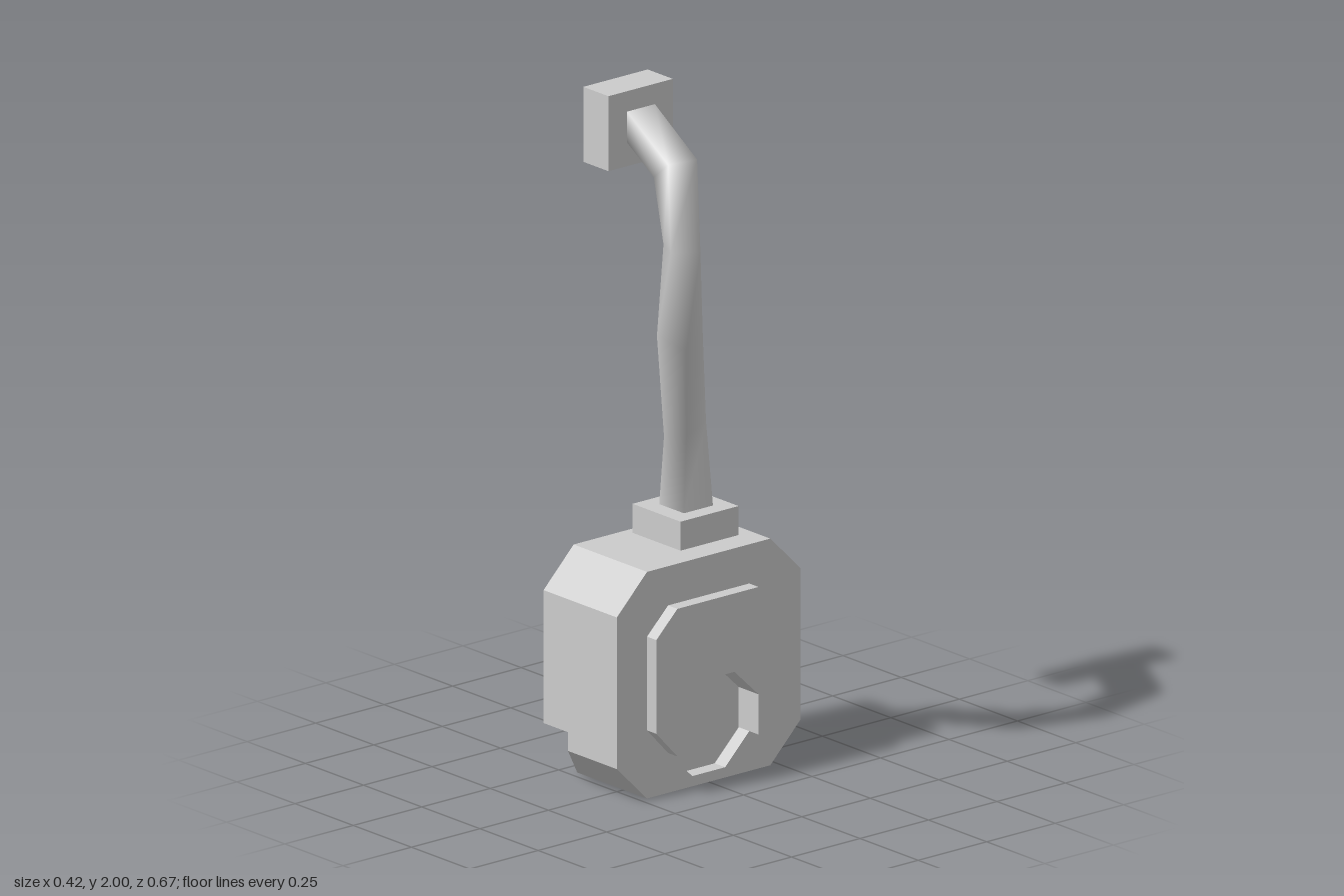
import * as THREE from 'three';

const grey = new THREE.MeshStandardMaterial({ color: 0xcccccc, side: THREE.DoubleSide });

function add(parent, name, geometry) {
  const mesh = new THREE.Mesh(geometry, grey);
  mesh.name = name;
  parent.add(mesh);
  return mesh;
}

// Flat wall strip along a path of [z, y, backX, frontX]
function wall(path, closed = true) {
  const pos = [];
  const n = path.length;
  for (let i = 0; i < (closed ? n : n - 1); i++) {
    const [pz, py, pb, pf] = path[i];
    const [qz, qy, qb, qf] = path[(i + 1) % n];
    pos.push(pb, py, pz, qb, qy, qz, qf, qy, qz);
    pos.push(pb, py, pz, qf, qy, qz, pf, py, pz);
  }
  const g = new THREE.BufferGeometry();
  g.setAttribute('position', new THREE.Float32BufferAttribute(pos, 3));
  g.computeVertexNormals();
  return g;
}

// Flat panel facing +x, outlined by [z, y] points
function panel(points, x, hole) {
  const flat = (list) => list.map(([z, y]) => new THREE.Vector2(-z, y));
  const shape = new THREE.Shape(flat(points));
  if (hole) shape.holes.push(new THREE.Path(flat(hole)));
  return new THREE.ShapeGeometry(shape).rotateY(Math.PI / 2).translate(x, 0, 0);
}

// Completes a -z half outline (bottom to top) with its +z mirror
const mirrored = (half) => [...half, ...half.map(([z, ...rest]) => [-z, ...rest]).reverse()];
const depth = (points, back, front) => points.map(([z, y]) => [z, y, back, front]);

function createHousing() {
  const housing = new THREE.Group();
  housing.name = 'housing';
  const face = 0.1, raised = 0.14, floor = 0.055;

  // Octagonal shell, open at the back, with a notch low on each side
  const shell = mirrored([
    [-0.225, 0, -0.2, face], [-0.335, 0.11, -0.11, face], [-0.335, 0.165, -0.11, face],
    [-0.335, 0.165, -0.215, face], [-0.335, 0.555, -0.215, face], [-0.225, 0.665, -0.215, face],
  ]);
  add(housing, 'shell', wall(shell));

  // Raised plate, interrupted at the bottom by the octagonal recess
  const plateEdge = mirrored([[-0.148, 0.117], [-0.225, 0.2], [-0.225, 0.475], [-0.148, 0.55]]);
  const recessTop = mirrored([[-0.148, 0.117], [-0.148, 0.235], [-0.06, 0.32]]);
  const recessBottom = [[0.148, 0.117], [0.06, 0.03], [-0.06, 0.03], [-0.148, 0.117]];

  const outline = mirrored([[-0.225, 0], [-0.335, 0.11], [-0.335, 0.555], [-0.225, 0.665]]);
  add(housing, 'facePanel', panel(outline, face, [...plateEdge, ...recessBottom.slice(1, 3)]));
  add(housing, 'plateRim', wall(depth(plateEdge, face, raised), false));
  add(housing, 'plateFace', panel([...plateEdge, ...[...recessTop].reverse().slice(0)], raised));
  add(housing, 'recessUpperWall', wall(depth([...recessTop].reverse(), floor, raised), false));
  add(housing, 'recessLowerWall', wall(depth([...recessBottom].reverse(), floor, face), false));
  add(housing, 'recessFloor', panel([...recessTop, ...recessBottom.slice(1, 3)], floor));
  return housing;
}

// Square hose: each section is centre, half-width axis u, half-width axis v
function createHose() {
  const sections = [
    [[-0.084, 0.75, -0.074], [0.053, 0, 0], [0, 0, 0.053]],
    [[-0.045, 0.99, -0.037], [0.041, 0.008, -0.006], [0.006, -0.012, 0.041]],
    [[0.1, 1.33, 0.105], [0.044, -0.015, -0.016], [0.016, -0.008, 0.044]],
    [[0.15, 1.61, 0.14], [0.038, 0, 0.019], [-0.019, 0, 0.038]],
    [[0.075, 1.815, 0.1], [0.038, 0.029, 0.006], [-0.008, 0, 0.046]],
    [[-0.109, 1.896, 0.071], [0, 0.045, 0], [0, 0, 0.051]],
  ];
  const pos = [], index = [];
  sections.forEach(([c, u, v], s) => {
    for (const [a, b] of [[1, 1], [1, -1], [-1, -1], [-1, 1]]) {
      pos.push(...c.map((value, k) => value + a * u[k] + b * v[k]));
    }
    if (s === 0) return;
    for (let i = 0; i < 4; i++) {
      const j = (i + 1) % 4, lo = (s - 1) * 4, hi = s * 4;
      index.push(lo + i, lo + j, hi + j, lo + i, hi + j, hi + i);
    }
  });
  const g = new THREE.BufferGeometry();
  g.setAttribute('position', new THREE.Float32BufferAttribute(pos, 3));
  g.setIndex(index);
  g.computeVertexNormals();
  return g;
}

export function createModel() {
  const model = new THREE.Group();
  model.name = 'hoseUnit';
  model.add(createHousing());

  // Collar where the hose leaves the housing
  add(model, 'collar', new THREE.BoxGeometry(0.206, 0.085, 0.212)).position.set(-0.084, 0.7075, -0.072);
  add(model, 'hose', createHose());

  // Connector box at the top, open at the back
  const connector = new THREE.Group();
  connector.name = 'connector';
  const square = [[0.19, 1.78], [-0.045, 1.78], [-0.045, 2], [0.19, 2]];
  add(connector, 'connectorWalls', wall(depth(square, -0.215, -0.107)));
  add(connector, 'connectorFace', panel(square, -0.107));
  model.add(connector);
  return model;
}
